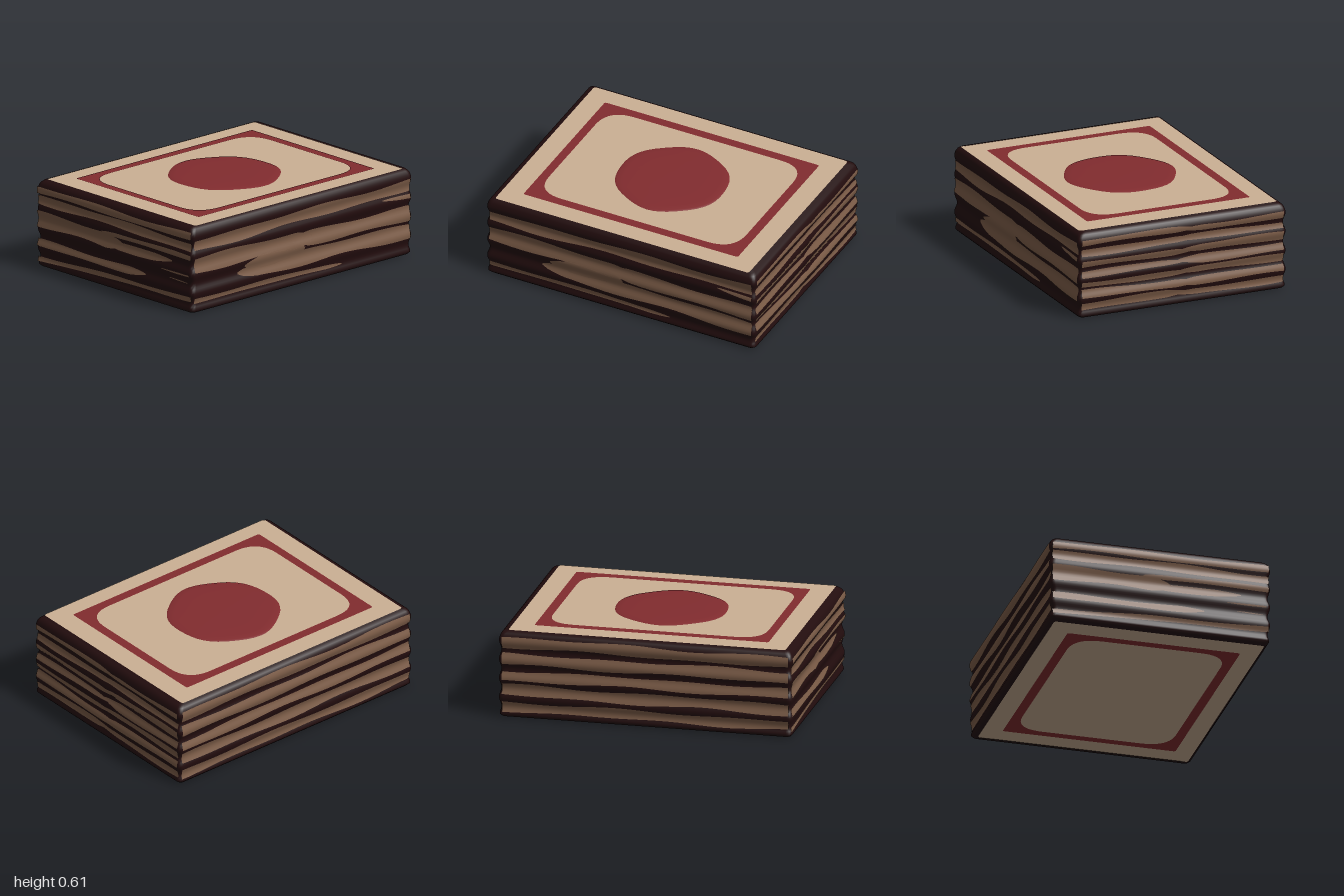
import * as THREE from 'three';
import { toCreasedNormals } from 'three/addons/utils/BufferGeometryUtils.js';

const HX = 0.747, HZ = 0.988, Y0 = 0.008, Y1 = 0.595;

function material(name, color) {
  const m = new THREE.MeshStandardMaterial({ color });
  m.name = name;
  return m;
}

function mesh(name, geometry, mat) {
  const m = new THREE.Mesh(geometry, mat);
  m.name = name;
  return m;
}

// Ripple of the stacked card edges, with the top and bottom rims rounded in
function ripple(y) {
  const rim = Math.max(0, 1 - Math.min(y - Y0, Y1 - y) / 0.025);
  return 0.007 * Math.sin(y * 48 + 1.2) - 0.018 * rim * rim;
}

function roundedRect(target, x0, x1, z0, z1, r) {
  target.moveTo(x0 + r, z0);
  target.lineTo(x1 - r, z0);
  target.quadraticCurveTo(x1, z0, x1, z0 + r);
  target.lineTo(x1, z1 - r);
  target.quadraticCurveTo(x1, z1, x1 - r, z1);
  target.lineTo(x0 + r, z1);
  target.quadraticCurveTo(x0, z1, x0, z1 - r);
  target.lineTo(x0, z0 + r);
  target.quadraticCurveTo(x0, z0, x0 + r, z0);
  return target;
}

// Indexed grid from a function of (column, row)
function grid(cols, rows, fn) {
  const pos = [], index = [];
  for (let j = 0; j <= rows; j++) {
    for (let i = 0; i <= cols; i++) {
      pos.push(...fn(i, j));
      if (i < cols && j < rows) {
        const a = j * (cols + 1) + i, b = a + 1, c = a + cols + 1, d = c + 1;
        index.push(a, b, d, a, d, c);
      }
    }
  }
  const g = new THREE.BufferGeometry();
  g.setAttribute('position', new THREE.Float32BufferAttribute(pos, 3));
  g.setIndex(index);
  g.computeVertexNormals();
  return g;
}

// Rounded-rectangle rings stacked up the height, closed at both ends
function bodyGeometry() {
  const ring = roundedRect(new THREE.Shape(), -HX, HX, -HZ, HZ, 0.035).getPoints(5);
  const n = ring.length - 1, rows = 46;
  return toCreasedNormals(grid(n, rows, (i, j) => {
    const t = THREE.MathUtils.clamp((j - 1) / (rows - 2), 0, 1);
    const y = Y0 + (Y1 - Y0) * t;
    const r = ripple(y);
    const s = j === 0 || j === rows ? 0 : 1;
    const p = ring[n - (i % n)];
    return [p.x * s * (1 + r / HX), y, p.y * s * (1 + r / HZ)];
  }), 0.9);
}

// Thin wavering streak hugging the rippled side; ends short of a corner taper
function streakGeometry([u0, u1, yStart, yEnd, height], halfWidth, halfDepth) {
  const cols = 36, rows = 7;
  const taper = (gap, end) =>
    Math.abs(end) > halfWidth - 0.03 ? 1 : THREE.MathUtils.clamp(gap / 0.16, 0.02, 1);
  return grid(cols, rows, (i, j) => {
    const t = i / cols, u = u0 + (u1 - u0) * t;
    const end = Math.sqrt(taper(u - u0, u0) * taper(u1 - u, u1));
    const waver = 1 + 0.15 * Math.sin(u * 8 + yStart * 40);
    const middle = yStart + (yEnd - yStart) * t + 0.005 * Math.sin(u * 5 + yStart * 30);
    const y = middle + height * end * waver * (j / rows - 0.5);
    return [u, y, halfDepth + ripple(y) + 0.004];
  });
}

// Streaks read left to right facing a side: start, end, start height, end height, thickness
const FRONT = [
  [-0.74, 0.74, 0.532, 0.535, 0.045],
  [-0.74, 0.74, 0.47, 0.462, 0.058],
  [-0.74, 0.08, 0.335, 0.333, 0.1],
  [-0.12, 0.55, 0.312, 0.33, 0.05],
  [-0.12, 0.74, 0.39, 0.385, 0.033],
  [-0.74, 0.3, 0.168, 0.178, 0.045],
  [-0.74, 0.74, 0.062, 0.105, 0.032],
  [0.45, 0.72, 0.263, 0.265, 0.012],
  [0.52, 0.7, 0.208, 0.207, 0.012],
];
const LEFT = [
  [-0.97, 0.97, 0.468, 0.487, 0.075],
  [-0.97, 0.1, 0.335, 0.315, 0.105],
  [-0.1, 0.97, 0.32, 0.287, 0.095],
  [-0.52, 0.02, 0.245, 0.25, 0.09],
  [-0.58, 0.97, 0.2, 0.172, 0.095],
  [-0.97, 0.36, 0.093, 0.076, 0.032],
  [0.72, 0.97, 0.43, 0.415, 0.03],
];

// Evenly stacked rows, each broken into overlapping wandering pieces
function scatteredStreaks(half, rows, pieces, thickness, seed) {
  const random = () => (seed = (seed * 16807) % 2147483647) / 2147483647;
  const list = [], length = 2 * half / pieces;
  for (let r = 0; r < rows; r++) {
    const y = 0.085 + 0.44 * r / (rows - 1);
    for (let p = 0; p < pieces; p++) {
      const start = Math.max(-half, -half + p * length - 0.12 * random());
      const end = Math.min(half, -half + (p + 1) * length + 0.12 * random());
      const drift = () => y + (random() - 0.5) * 0.022;
      list.push([start, end, drift(), drift(), thickness * (0.8 + 0.4 * random())]);
    }
  }
  return list;
}

// Flat plate laid facing up or down
function plate(name, shape, mat, y, up) {
  const g = new THREE.ShapeGeometry(shape, 10);
  g.rotateX(up ? -Math.PI / 2 : Math.PI / 2);
  g.translate(0, y, 0);
  return mesh(name, g, mat);
}

function panelShape() {
  return roundedRect(new THREE.Shape(), -0.71, 0.725, -0.94, 0.935, 0.02);
}

function frameShape() {
  const s = roundedRect(new THREE.Shape(), -0.58, 0.6, -0.795, 0.79, 0.015);
  s.holes.push(roundedRect(new THREE.Path(), -0.515, 0.535, -0.735, 0.725, 0.19));
  return s;
}

// Low, slightly uneven dome
function discGeometry() {
  const profile = [[0.378, 0], [0.365, 0.006], [0.32, 0.01], [0.2, 0.012], [0, 0.012]];
  const g = new THREE.LatheGeometry(profile.map(([x, y]) => new THREE.Vector2(x, y)), 48);
  const p = g.attributes.position;
  for (let i = 0; i < p.count; i++) {
    const a = Math.atan2(p.getZ(i), p.getX(i));
    const k = 0.99 + 0.016 * Math.cos(6 * a + 0.4) + 0.008 * Math.cos(4 * a);
    p.setX(i, p.getX(i) * k);
    p.setZ(i, p.getZ(i) * k);
  }
  g.computeVertexNormals();
  return g.translate(0, 0.598, 0);
}

export function createModel() {
  const dark = material('dark edge', 0x230d0e);
  const brown = material('worn brown', 0x7d5d48);
  const cream = material('cream', 0xcbb094);
  const red = material('deep red', 0x822c2f);

  const deck = new THREE.Group();
  deck.name = 'cardDeck';
  deck.add(mesh('cardStack', bodyGeometry(), dark));

  // Worn streaks around the four sides
  const addStreaks = (name, angle, halfWidth, halfDepth, streaks) => {
    const group = new THREE.Group();
    group.name = name;
    group.rotation.y = angle;
    for (const s of streaks) group.add(mesh('streak', streakGeometry(s, halfWidth, halfDepth), brown));
    deck.add(group);
  };
  addStreaks('frontStreaks', 0, HX, HZ, FRONT);
  addStreaks('leftSideStreaks', Math.PI / 2, HZ, HX, LEFT);
  addStreaks('backStreaks', Math.PI, HX, HZ, scatteredStreaks(0.73, 7, 2, 0.046, 71));
  addStreaks('rightSideStreaks', -Math.PI / 2, HZ, HX, scatteredStreaks(0.97, 5, 1, 0.072, 23));

  // Top and bottom card faces
  deck.add(plate('topPanel', panelShape(), cream, 0.598, true));
  deck.add(plate('topFrame', frameShape(), red, 0.601, true));
  deck.add(mesh('topDisc', discGeometry(), red));
  deck.add(plate('bottomPanel', panelShape(), cream, 0.004, false));
  deck.add(plate('bottomFrame', frameShape(), red, 0, false));
  return deck;
}
